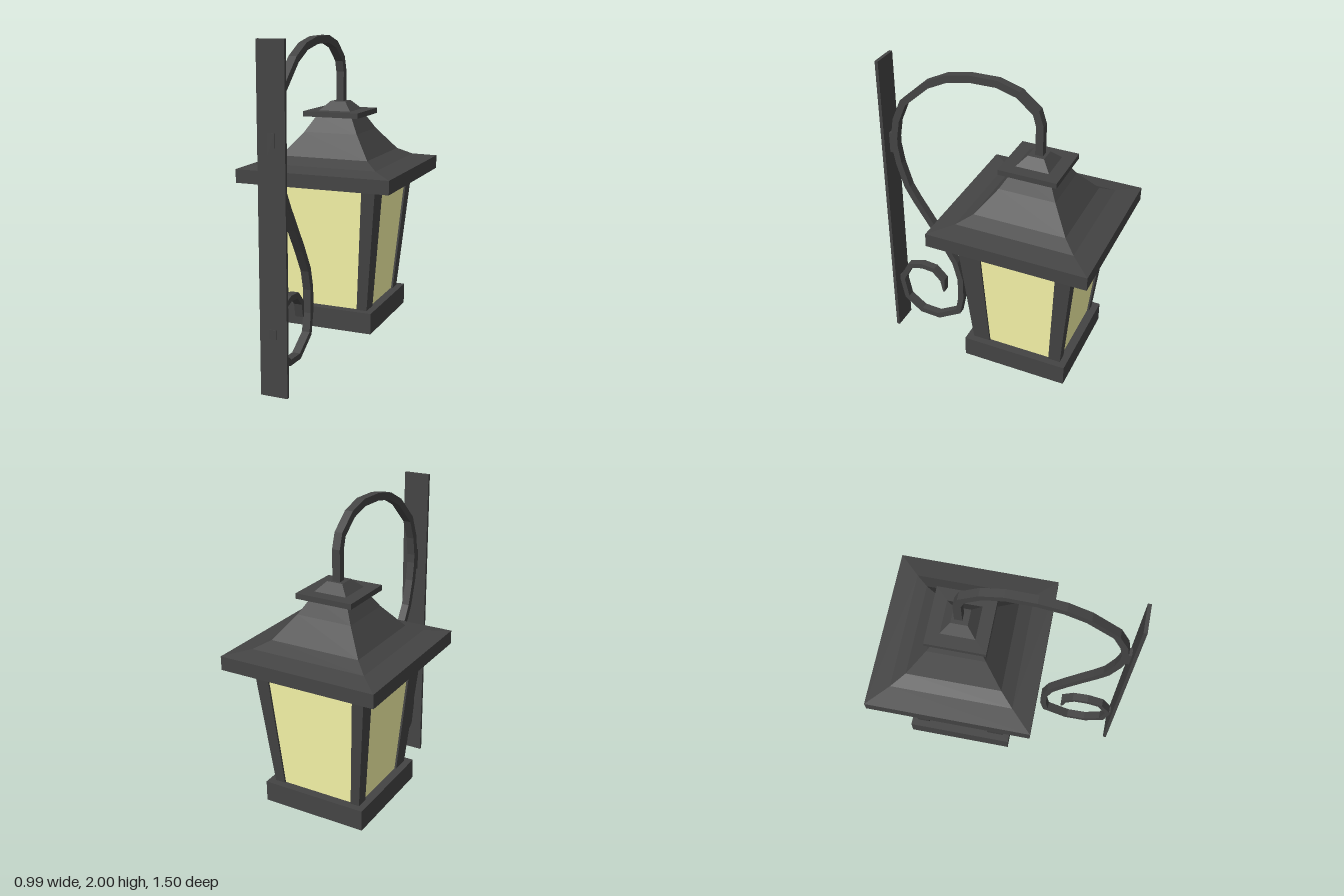
import * as THREE from 'three';

const metal = new THREE.MeshStandardMaterial({ color: 0x444444, flatShading: true });
const glass = new THREE.MeshStandardMaterial({ color: 0xfcfaac, flatShading: true });
const CZ = -0.256; // lantern axis

function add(parent, name, geo, mat = metal) {
  const flat = geo.index ? geo.toNonIndexed() : geo;
  flat.computeVertexNormals();
  const mesh = new THREE.Mesh(flat, mat);
  mesh.name = name;
  parent.add(mesh);
  return mesh;
}

// box given by its limits
function block(x0, x1, y0, y1, z0, z1) {
  return new THREE.BoxGeometry(x1 - x0, y1 - y0, z1 - z0)
    .translate((x0 + x1) / 2, (y0 + y1) / 2, (z0 + z1) / 2);
}

// tapered box between two rectangles [x0, x1, z0, z1]
function taper(y0, bottom, y1, top) {
  const geo = new THREE.BoxGeometry(1, 1, 1);
  const p = geo.attributes.position;
  for (let i = 0; i < p.count; i++) {
    const r = p.getY(i) > 0 ? top : bottom;
    p.setXYZ(i, p.getX(i) < 0 ? r[0] : r[1], p.getY(i) > 0 ? y1 : y0, p.getZ(i) < 0 ? r[2] : r[3]);
  }
  return geo;
}

// square turned profile, points are [half width, height]
function squareLathe(points) {
  const pts = points.map(([w, y]) => new THREE.Vector2(w * Math.SQRT2, y));
  return new THREE.LatheGeometry(pts, 4, Math.PI / 4);
}

// flat bar of varying thickness following a [z, y] path, extruded across x
function bar(path, half, width) {
  const pts = path.map(([z, y]) => new THREE.Vector2(z, y));
  const sides = [[], []];
  pts.forEach((p, i) => {
    const a = pts[Math.max(i - 1, 0)], b = pts[Math.min(i + 1, pts.length - 1)];
    const t = b.clone().sub(a).normalize();
    const n = new THREE.Vector2(-t.y, t.x).multiplyScalar(half(i / (pts.length - 1)));
    sides[0].push(p.clone().add(n));
    sides[1].unshift(p.clone().sub(n));
  });
  return new THREE.ExtrudeGeometry(new THREE.Shape([...sides[0], ...sides[1]]), { depth: width, bevelEnabled: false })
    .translate(0, 0, -width / 2).rotateY(-Math.PI / 2);
}

export function createModel() {
  const model = new THREE.Group();
  model.name = 'wallLantern';

  // wall plate and the two scroll mounts
  add(model, 'wallPlate', block(-0.083, 0.083, 0, 2, 0.725, 0.746));
  add(model, 'upperMount', block(-0.024, 0.024, 1.37, 1.505, 0.69, 0.75));
  add(model, 'lowerMount', block(-0.022, 0.022, 0.345, 0.4, 0.715, 0.75));

  // scroll bracket from lantern top to the inner curl
  const path = [
    [-0.265, 1.57], [-0.265, 1.77], [-0.24, 1.85], [-0.13, 1.94], [0, 1.978], [0.17, 1.975],
    [0.32, 1.945], [0.45, 1.88], [0.615, 1.73], [0.67, 1.6], [0.69, 1.48], [0.69, 1.42],
    [0.67, 1.3], [0.62, 1.14], [0.567, 1.05], [0.48, 0.92], [0.385, 0.775], [0.3, 0.63],
    [0.265, 0.5], [0.265, 0.35], [0.288, 0.225], [0.44, 0.135], [0.57, 0.142], [0.68, 0.225],
    [0.71, 0.375], [0.645, 0.5], [0.555, 0.528], [0.465, 0.52], [0.4, 0.455], [0.392, 0.365],
  ];
  add(model, 'scrollBracket', bar(path, t => (t > 0.98 ? 0.006 : 0.0235 - 0.006 * t), 0.05));

  const lantern = new THREE.Group();
  lantern.name = 'lantern';
  lantern.position.z = CZ;
  model.add(lantern);

  // flared roof, collar and cap
  add(lantern, 'roof', squareLathe([
    [0, 1.108], [0.494, 1.108], [0.494, 1.193], [0.365, 1.217], [0.285, 1.26],
    [0.175, 1.4], [0.115, 1.5], [0, 1.5],
  ]));
  add(lantern, 'collar', block(-0.18, 0.18, 1.497, 1.53, -0.18, 0.18));
  add(lantern, 'cap', squareLathe([[0.105, 1.528], [0.05, 1.585], [0, 1.585]]));

  // base tray
  add(lantern, 'base', block(-0.335, 0.335, 0.19, 0.322, -0.335, 0.335));

  // glass body, its panes just behind the post faces
  const y0 = 0.31, y1 = 1.12, b = 0.292, t = 0.365, inset = 0.012;
  const pane = h => [inset - h, h - inset, inset - h, h - inset];
  add(lantern, 'glass', taper(y0, pane(b), y1, pane(t)), glass);

  // leaning corner posts
  for (const sx of [-1, 1]) {
    for (const sz of [-1, 1]) {
      const wx = sx > 0 ? 0.086 : 0.074, wz = sz > 0 ? 0.143 : 0.1;
      const rect = (h, k) => {
        const xs = [sx * h, sx * (h - wx * k)].sort((p, q) => p - q);
        const zs = [sz * h, sz * (h - wz * k)].sort((p, q) => p - q);
        return [...xs, ...zs];
      };
      add(lantern, 'cornerPost', taper(y0, rect(b, 0.76), y1, rect(t, 1)));
    }
  }
  return model;
}
